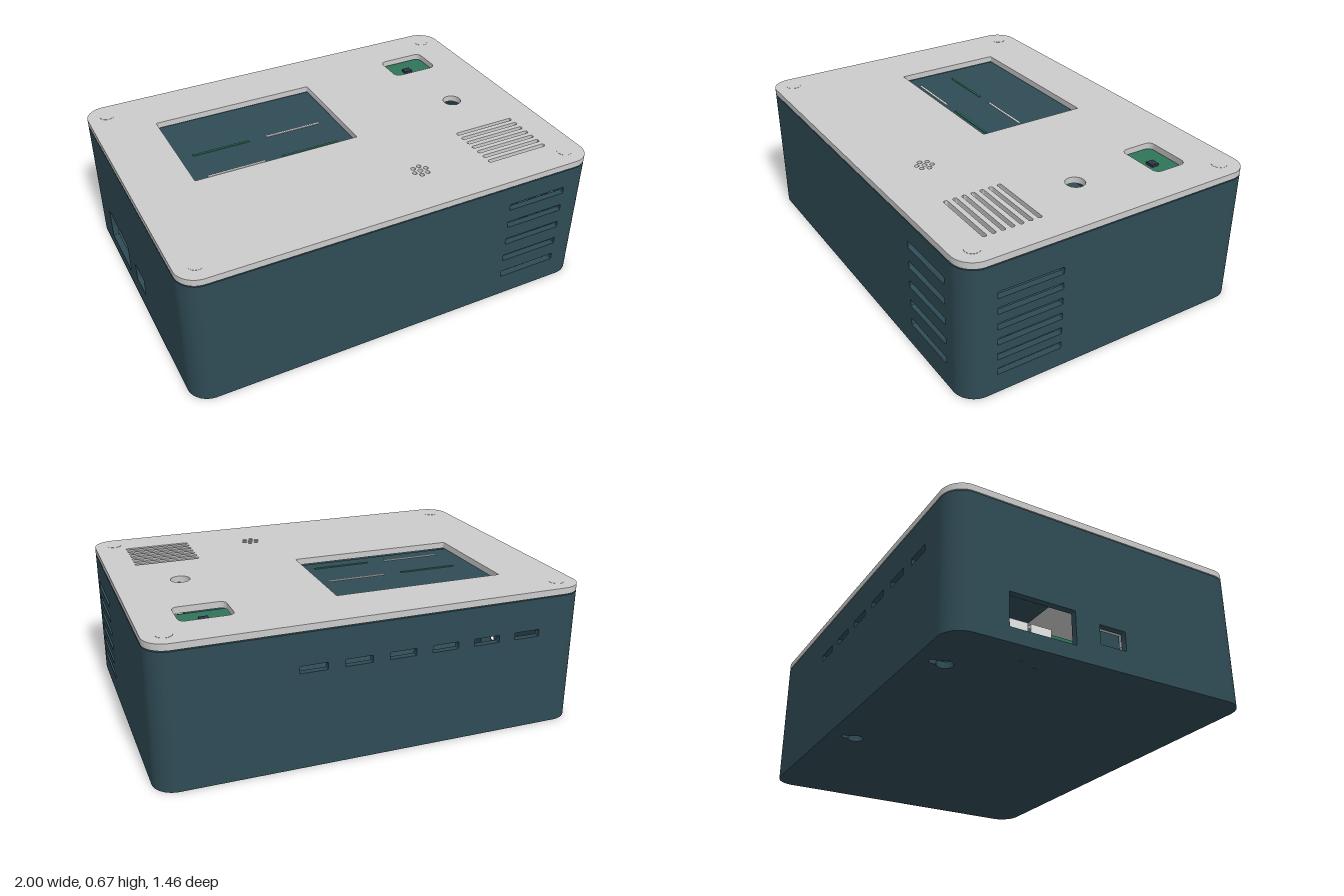
import * as THREE from 'three';
import { toCreasedNormals } from 'three/addons/utils/BufferGeometryUtils.js';

const W = 2, D = 1.46, R = 0.1, T = 0.03, H = 0.63, TOP = 0.665;

const material = (name, color) => {
  const m = new THREE.MeshStandardMaterial({ color });
  m.name = name;
  return m;
};

// Rounded rectangle centred on (x, y)
function roundedRect(path, x, y, w, h, r) {
  const a = w / 2 - r, b = h / 2 - r;
  path.moveTo(x + w / 2, y - b);
  path.lineTo(x + w / 2, y + b);
  path.absarc(x + a, y + b, r, 0, Math.PI / 2);
  path.absarc(x - a, y + b, r, Math.PI / 2, Math.PI);
  path.absarc(x - a, y - b, r, Math.PI, Math.PI * 1.5);
  path.absarc(x + a, y - b, r, Math.PI * 1.5, Math.PI * 2);
  return path;
}
const rectHole = (x, y, w, h, r = 0.004) => roundedRect(new THREE.Path(), x, y, w, h, r);
const roundHole = (x, y, r) => new THREE.Path().absarc(x, y, r, 0, Math.PI * 2);

// Extrude a shape with holes
function extrude(shape, depth, holes = []) {
  shape.holes.push(...holes);
  const g = new THREE.ExtrudeGeometry(shape, { depth, bevelEnabled: false, curveSegments: 10 });
  return toCreasedNormals(g, 0.6);
}
// The same, laid flat: shape (x, y) becomes (x, -z), depth goes up
const slab = (shape, depth, holes) => extrude(shape, depth, holes).rotateX(-Math.PI / 2);

export function createModel() {
  const model = new THREE.Group();
  model.name = 'deviceEnclosure';
  const teal = material('dark teal', 0x2f4b55);
  const grey = material('light grey', 0xcacbca);
  const green = material('board green', 0x2f7458);
  const white = material('white', 0xececec);
  const dark = material('dark chip', 0x2b3546);

  const add = (name, geometry, mat, x = 0, y = 0, z = 0, ry = 0) => {
    const mesh = new THREE.Mesh(geometry, mat);
    mesh.name = name;
    mesh.position.set(x, y, z);
    mesh.rotation.y = ry;
    model.add(mesh);
    return mesh;
  };
  const box = (name, mat, x, y, z, w, h, d) => add(name, new THREE.BoxGeometry(w, h, d), mat, x, y, z);

  // Floor with two keyhole mounts and two pin holes
  const floorHoles = [roundHole(-0.85, 0.27, 0.008), roundHole(-0.88, 0.35, 0.008)];
  for (const x of [0.2, -0.71]) {
    const key = new THREE.Path();
    key.absarc(x, 0.595, 0.036, Math.PI * 0.65, Math.PI * 2.35);
    key.absarc(x, 0.65, 0.016, 0, Math.PI);
    floorHoles.push(key);
  }
  add('floor', slab(roundedRect(new THREE.Shape(), 0, 0, W, D, R), T, floorHoles), teal);

  // Straight walls with vents and port openings
  const wall = (name, length, holes, x, z, ry) => {
    const s = new THREE.Shape();
    s.moveTo(-length / 2, T);
    s.lineTo(length / 2, T);
    s.lineTo(length / 2, H);
    s.lineTo(-length / 2, H);
    add(name, extrude(s, T, holes), teal, x, 0, z, ry);
  };
  const row = (n, f) => Array.from({ length: n }, (_, i) => f(i));
  const frontVents = row(5, (i) => rectHole(0.7, 0.126 + i * 0.0985, 0.3, 0.033));
  const sideVents = row(6, (i) => rectHole(-0.423, 0.108 + i * 0.0755, 0.315, 0.032));
  const backVents = row(6, (i) => rectHole(-0.31 + i * 0.204, 0.465, 0.125, 0.033));
  const ports = [rectHole(-0.318, 0.145, 0.31, 0.155), rectHole(0.02, 0.148, 0.13, 0.09)];
  wall('frontWall', W - 2 * R, frontVents, 0, D / 2 - T, 0);
  wall('backWall', W - 2 * R, backVents, 0, -D / 2 + T, Math.PI);
  wall('leftWall', D - 2 * R, sideVents, W / 2 - T, 0, Math.PI / 2);
  wall('rightWall', D - 2 * R, ports, -W / 2 + T, 0, -Math.PI / 2);

  // Rounded corners
  for (let i = 0; i < 4; i++) {
    const a = (i * Math.PI) / 2;
    const s = new THREE.Shape();
    s.absarc(0, 0, R, a, a + Math.PI / 2, false);
    s.absarc(0, 0, R - T, a + Math.PI / 2, a, true);
    const sx = i === 0 || i === 3 ? 1 : -1, sz = i < 2 ? -1 : 1;
    add('cornerWall', slab(s, H - T), teal, sx * (W / 2 - R), T, sz * (D / 2 - R));
    // Flush screw caps above the corners
    add('screwCap', new THREE.CylinderGeometry(0.035, 0.035, 0.002, 24), grey, sx * 0.905, TOP, sz * 0.635);
  }

  // Lid with screen, sensor, button, speaker and microphone openings
  const lidHoles = [
    rectHole(-0.302, 0.185, 0.815, 0.55),
    rectHole(0.7, 0.435, 0.24, 0.17, 0.03),
    roundHole(0.7, 0, 0.045),
    roundHole(0.225, -0.47, 0.012),
  ];
  for (let i = 0; i < 7; i++) lidHoles.push(rectHole(0.7, -0.287 - i * 0.0435, 0.315, 0.02, 0.009));
  for (let i = 0; i < 6; i++) {
    const a = (i * Math.PI) / 3 + 0.2;
    lidHoles.push(roundHole(0.225 + 0.034 * Math.cos(a), -0.47 + 0.034 * Math.sin(a), 0.011));
  }
  add('lid', slab(roundedRect(new THREE.Shape(), 0, 0, W, D, R), TOP - 0.635, lidHoles), grey, 0, 0.635);
  const lipInner = rectHole(0, 0, W - 0.14, D - 0.14, 0.06);
  add('lidLip', slab(roundedRect(new THREE.Shape(), 0, 0, W - 0.07, D - 0.07, 0.07), 0.035, [lipInner]), grey, 0, 0.6);

  // Screen and its coloured lines
  box('screen', teal, -0.302, 0.615, -0.185, 0.85, 0.02, 0.58);
  for (const [x, z, m] of [[-0.487, -0.165, green], [-0.112, -0.165, white], [-0.487, 0.03, white], [-0.112, 0.03, green]])
    box('screenLine', m, x, 0.627, z, 0.285, 0.004, 0.011);

  // Sensor boards under the lid
  box('sensorBoard', green, 0.7, 0.615, -0.435, 0.28, 0.016, 0.21);
  box('sensorChip', dark, 0.697, 0.628, -0.435, 0.042, 0.014, 0.036);
  box('speakerBoard', green, 0.7, 0.605, 0.417, 0.35, 0.016, 0.31);
  box('speakerChip', dark, 0.7, 0.617, 0.417, 0.042, 0.012, 0.02);

  // Main board with connectors behind the port opening
  box('mainBoard', green, -0.62, 0.105, -0.32, 0.66, 0.016, 0.42);
  for (const z of [-0.41, -0.3]) box('portConnector', white, -0.91, 0.106, z, 0.09, 0.055, 0.095);
  box('powerSocket', teal, -0.92, 0.148, 0.02, 0.06, 0.1, 0.14);
  box('ventBracket', teal, 0.92, 0.185, 0.42, 0.06, 0.05, 0.1);

  return model;
}
